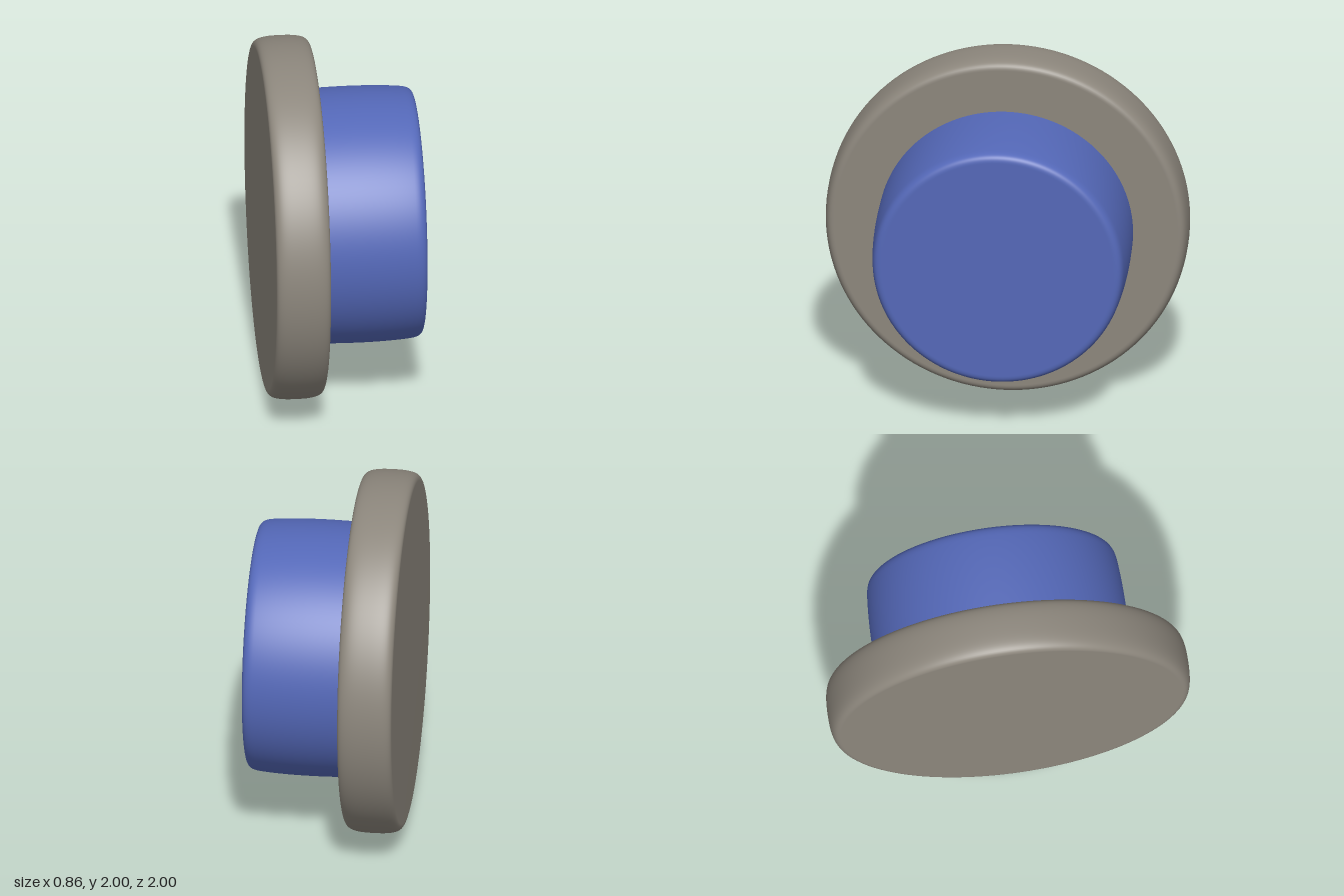
import * as THREE from 'three';

// Turns a profile of curves (radius, distance along x) into a solid about the x axis.
function turned(name, color, start, curves, end) {
  const path = new THREE.CurvePath();
  const v = ([r, x]) => new THREE.Vector2(r, x);
  const points = [v([0, start])];
  for (const c of curves) {
    points.push(...new THREE.CubicBezierCurve(...c.map(v)).getPoints(14));
  }
  points.push(v([0, end]));
  // drop repeated points where curves meet
  const profile = points.filter((p, i) => i === 0 || p.distanceTo(points[i - 1]) > 1e-5);
  const geometry = new THREE.LatheGeometry(profile, 128);
  geometry.rotateZ(-Math.PI / 2);
  const mesh = new THREE.Mesh(geometry, new THREE.MeshStandardMaterial({ color }));
  mesh.name = name;
  mesh.position.y = 1;
  return mesh;
}

export function createModel() {
  const group = new THREE.Group();
  group.name = 'flangedKnob';

  // Wide disc with softly crowned rim
  group.add(turned('flange', 0x8c867c, -0.43, [
    [[0.945, -0.43], [0.99, -0.43], [1, -0.38], [1, -0.28]],
    [[1, -0.28], [1, -0.18], [0.99, -0.13], [0.945, -0.13]],
  ], -0.13));

  // Narrower plug, slightly barrelled, with a rounded outer edge
  group.add(turned('plug', 0x5468b8, -0.16, [
    [[0.7, -0.16], [0.704, -0.06], [0.706, 0.04], [0.705, 0.12]],
    [[0.705, 0.12], [0.704, 0.22], [0.699, 0.31], [0.692, 0.37]],
    [[0.692, 0.37], [0.687, 0.41], [0.675, 0.43], [0.64, 0.43]],
  ], 0.43));

  return group;
}
